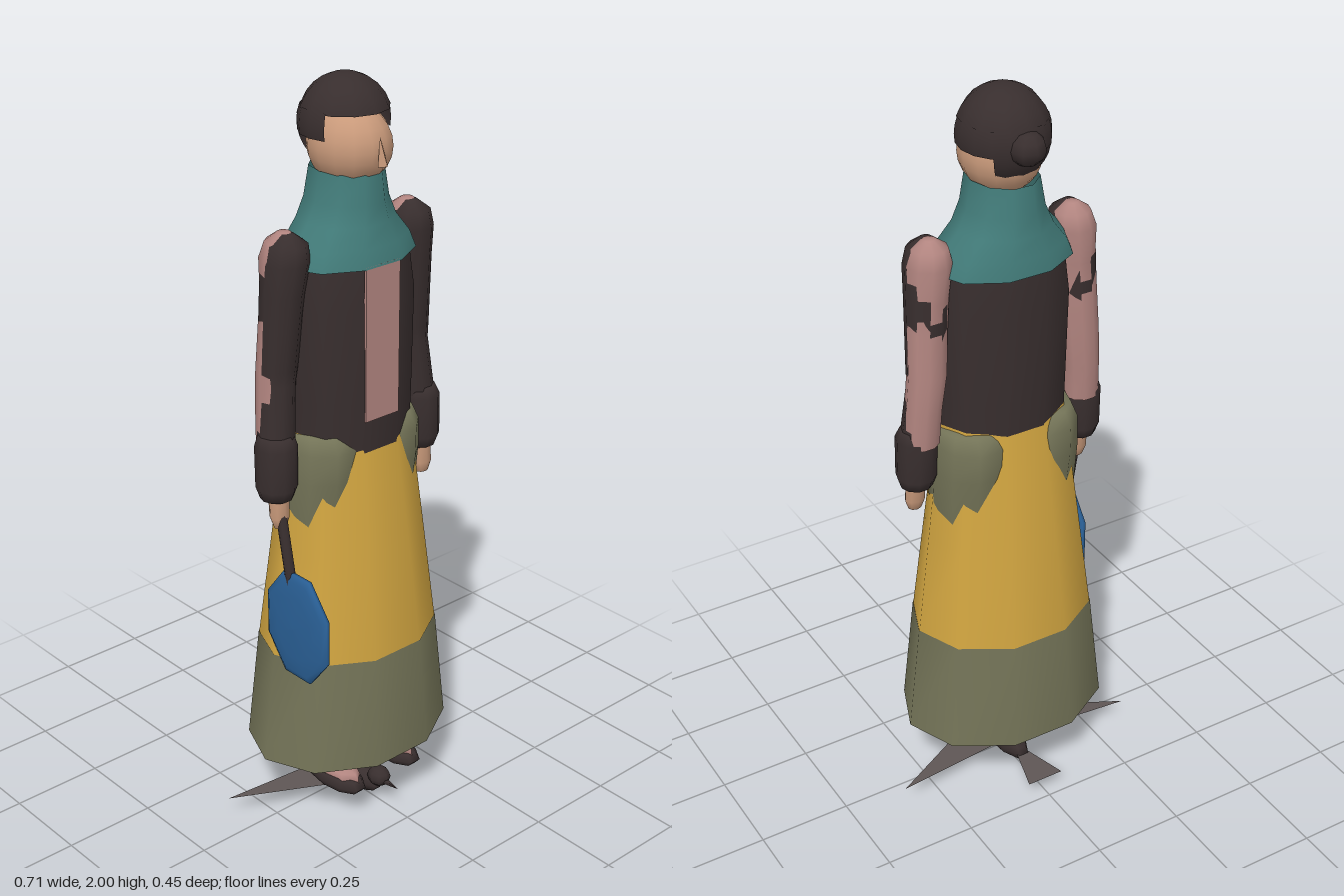
import * as THREE from 'three';

const mat = (name, color, side = THREE.FrontSide) => {
  const m = new THREE.MeshStandardMaterial({ color, side });
  m.name = name;
  return m;
};

// Vertical loft through elliptical rings [y, rx, rz, cx, cz]
function loft(rings, sides = 10) {
  const pos = [], idx = [];
  rings.forEach(([y, rx, rz, cx = 0, cz = 0], i) => {
    for (let j = 0; j < sides; j++) {
      const a = (j / sides) * Math.PI * 2;
      pos.push(cx + Math.cos(a) * rx, y, cz + Math.sin(a) * rz);
      if (i === rings.length - 1) continue;
      const k = (j + 1) % sides, p = i * sides + j, q = i * sides + k;
      idx.push(p, p + sides, q, q, p + sides, q + sides);
    }
  });
  const g = new THREE.BufferGeometry();
  g.setAttribute('position', new THREE.Float32BufferAttribute(pos, 3));
  g.setIndex(idx);
  g.computeVertexNormals();
  return g;
}

// Horizontal or upright thin polygon from corner points
function sheet(points) {
  const g = new THREE.BufferGeometry();
  g.setAttribute('position', new THREE.Float32BufferAttribute(points.flat(), 3));
  g.setIndex(points.length === 4 ? [0, 1, 2, 0, 2, 3] : [0, 1, 2]);
  g.computeVertexNormals();
  return g;
}

export function createModel() {
  const root = new THREE.Group();
  const two = THREE.DoubleSide;
  const yellow = mat('skirtYellow', 0xd0a440, two);
  const olive = mat('olive', 0x737357, two);
  const teal = mat('teal', 0x427b79, two);
  const dark = mat('darkCloth', 0x382e2e, two);
  const pink = mat('dustyPink', 0xb28580);
  const skin = mat('skin', 0xc8997a);
  const blue = mat('blue', 0x2a6096);
  const grey = mat('featherGrey', 0x5e5655, two);

  const add = (name, geo, material, parent = root) => {
    const m = new THREE.Mesh(geo, material);
    m.name = name;
    parent.add(m);
    return m;
  };
  const ball = (name, material, p, r, args = [10, 8], parent = root) => {
    const m = add(name, new THREE.SphereGeometry(1, ...args), material, parent);
    m.position.set(...p);
    m.scale.set(...r);
    return m;
  };

  // Clothing
  add('skirt', loft([[0.505, 0.254, 0.207, 0, 0.006], [0.8, 0.218, 0.168, 0, 0.007], [1.13, 0.178, 0.121, 0, 0.008]]), yellow);
  add('skirtHem', loft([[0.2, 0.291, 0.233, 0, 0.005], [0.51, 0.255, 0.208, 0, 0.006]]), olive);
  add('bodice', loft([[1.03, 0.174, 0.126, 0, 0.011], [1.2, 0.18, 0.127, 0, 0.011],
    [1.45, 0.188, 0.126, 0, 0.01], [1.58, 0.17, 0.115, 0, 0.008]]), dark);
  add('frontPanel', new THREE.BoxGeometry(0.11, 0.405, 0.008), pink).position.set(0, 1.358, 0.132);
  add('shawl', loft([[1.555, 0.19, 0.139, 0, 0.005], [1.6, 0.17, 0.13, 0, 0.003], [1.65, 0.125, 0.118, 0, 0],
    [1.7, 0.1, 0.11, 0, 0.001], [1.775, 0.086, 0.102, 0, 0.002]]), teal);

  // Head and hair
  ball('head', skin, [0, 1.83, 0.012], [0.1, 0.102, 0.112], [14, 12]);
  const nose = add('nose', new THREE.ConeGeometry(0.016, 0.07, 4), skin);
  nose.position.set(0, 1.833, 0.125);
  nose.rotation.x = -0.15;
  const hairAt = [0, 1.88, -0.003], hairSize = [0.115, 0.12, 0.118];
  ball('hairCrown', dark, hairAt, hairSize, [12, 5, 0, Math.PI * 2, 0, 1.24]);
  ball('hairSides', dark, hairAt, hairSize, [10, 3, 2.74, 3.94, 1.2, 0.55]);
  ball('hairNape', dark, hairAt, hairSize, [6, 3, Math.PI * 1.5 - 0.75, 1.5, 1.7, 0.6]);
  ball('hairBun', dark, [0, 1.878, -0.112], [0.046, 0.042, 0.044], [8, 6]);

  // Arms, legs and feet, mirrored
  for (const s of [1, -1]) {
    const arm = new THREE.Group();
    arm.name = s > 0 ? 'leftArm' : 'rightArm';
    root.add(arm);
    add('sleeve', loft([[1.1, 0.048, 0.047, s * 0.24, 0.01], [1.27, 0.047, 0.047, s * 0.223, -0.004],
      [1.31, 0.05, 0.05, s * 0.22, -0.003], [1.5, 0.055, 0.056, s * 0.21, 0.006], [1.58, 0.059, 0.062, s * 0.203, 0.012],
      [1.625, 0.05, 0.053, s * 0.2, 0.015], [1.65, 0.016, 0.016, s * 0.2, 0.018], [1.65, 0, 0, s * 0.2, 0.018]]), dark, arm);
    add('sleeveLining', loft([[1.1, 0.046, 0.046, s * 0.236, 0], [1.2, 0.047, 0.047, s * 0.231, -0.005],
      [1.3, 0.051, 0.048, s * 0.221, -0.009], [1.42, 0.052, 0.05, s * 0.215, -0.001], [1.5, 0.052, 0.053, s * 0.209, 0.003],
      [1.59, 0.058, 0.06, s * 0.203, 0.003], [1.63, 0.047, 0.047, s * 0.2, 0.003], [1.652, 0.016, 0.016, s * 0.2, 0.003],
      [1.652, 0, 0, s * 0.2, 0.003]]), pink, arm);
    add('cuff', loft([[0.97, 0, 0, s * 0.245, 0.016], [0.97, 0.042, 0.042, s * 0.245, 0.016], [1.0, 0.052, 0.054, s * 0.245, 0.016],
      [1.11, 0.054, 0.055, s * 0.243, 0.014], [1.14, 0.044, 0.044, s * 0.241, 0.01], [1.14, 0, 0, s * 0.241, 0.01]]), dark, arm);
    add('hand', loft([[0.888, 0, 0, s * 0.245, 0.028], [0.892, 0.018, 0.014, s * 0.245, 0.028],
      [0.92, 0.028, 0.022, s * 0.245, 0.026], [1.0, 0.028, 0.026, s * 0.243, 0.02]], 8), skin, arm);

    const leg = new THREE.Group();
    leg.name = s > 0 ? 'leftLeg' : 'rightLeg';
    root.add(leg);
    add('trouserLeg', loft([[0.13, 0.044, 0.046, s * 0.1, 0.003], [0.2, 0.053, 0.058, s * 0.1, 0.003],
      [0.6, 0.07, 0.075, s * 0.1, 0.003], [0.86, 0.1, 0.1, s * 0.102, 0.003], [1.0, 0.104, 0.121, s * 0.102, 0.003],
      [1.08, 0.1, 0.124, s * 0.102, 0.003], [1.12, 0.085, 0.1, s * 0.102, 0.003], [1.135, 0, 0, s * 0.1, 0.003]]), olive, leg);
    ball('foot', pink, [s * 0.098, 0.116, 0.058], [0.045, 0.038, 0.105], [8, 6], leg);
    ball('shoe', dark, [s * 0.1, 0.102, 0.068], [0.05, 0.033, 0.112], [10, 6], leg);
    ball('shoeHeel', dark, [s * 0.1, 0.122, 0.0], [0.046, 0.034, 0.05], [8, 6], leg);
  }

  // Paddle fan in the right hand
  const fan = new THREE.Group();
  fan.name = 'paddleFan';
  root.add(fan);
  const profile = [[0, -0.02], [0.55, -0.018], [0.88, -0.012], [1, -0.004], [1, 0.004], [0.88, 0.012], [0.55, 0.018], [0, 0.02]];
  const blade = add('blade', new THREE.LatheGeometry(profile.map(p => new THREE.Vector2(...p)), 8, Math.PI / 8), blue, fan);
  blade.rotation.z = Math.PI / 2;
  blade.scale.set(0.16, 1, 0.125);
  blade.position.set(-0.246, 0.63, 0.095);
  add('handle', loft([[0.72, 0.014, 0.014, -0.246, 0.075], [0.945, 0.014, 0.014, -0.246, 0.03],
    [0.945, 0, 0, -0.246, 0.03]], 8), dark, fan);

  // Small bird at the feet
  const bird = new THREE.Group();
  bird.name = 'bird';
  root.add(bird);
  ball('birdBody', dark, [0, 0.05, 0.01], [0.044, 0.045, 0.132], [10, 8], bird);
  ball('birdHead', dark, [0, 0.082, 0.135], [0.03, 0.028, 0.034], [8, 6], bird);
  const beak = add('beak', new THREE.ConeGeometry(0.01, 0.05, 5), dark, bird);
  beak.position.set(0, 0.076, 0.185);
  beak.rotation.x = Math.PI / 2;
  for (const s of [1, -1]) {
    const pts = [[s * 0.02, 0.06, 0.1], [s * 0.355, 0.06, -0.077], [s * 0.02, 0.06, -0.045]];
    add(s > 0 ? 'leftWing' : 'rightWing', sheet(s > 0 ? pts : pts.reverse()), grey, bird);
  }
  add('tail', sheet([[-0.012, 0.05, -0.09], [0.012, 0.05, -0.09], [0.052, 0.05, -0.228], [-0.052, 0.05, -0.228]]), grey, bird);

  return root;
}
